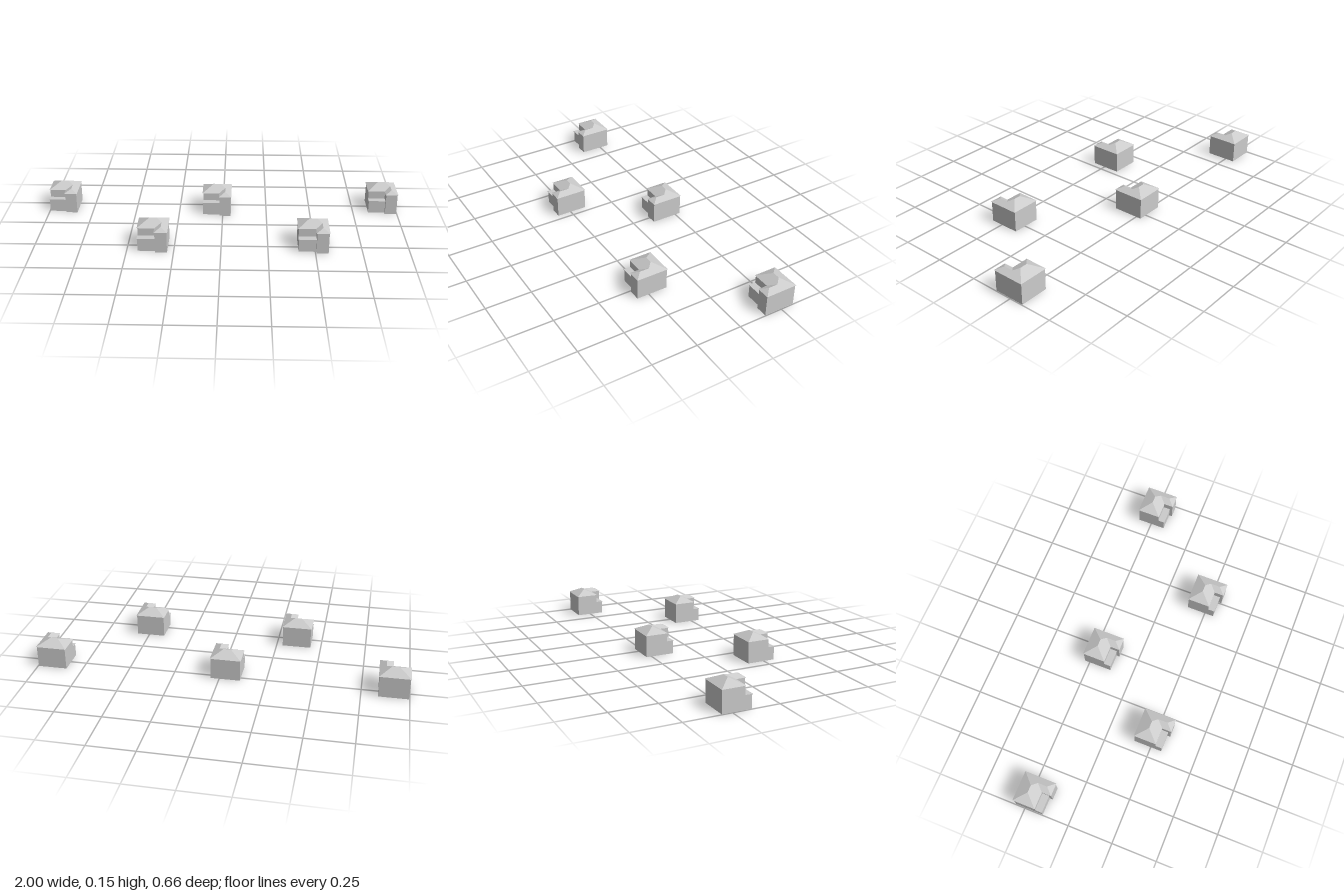
import * as THREE from 'three';

const EAVE = 0.118, RISE = 0.0315;
const material = new THREE.MeshStandardMaterial({ color: 0xcccccc, flatShading: true });
const doubleSided = new THREE.MeshStandardMaterial({ color: 0xcccccc, flatShading: true, side: THREE.DoubleSide });

function addMesh(group, name, geometry, mat = material) {
  const mesh = new THREE.Mesh(geometry, mat);
  mesh.name = name;
  group.add(mesh);
}

// Flat-faced geometry from polygons, each fanned from its first corner
function facets(polygons) {
  const pos = [];
  for (const p of polygons) {
    for (let i = 1; i < p.length - 1; i++) pos.push(...p[0], ...p[i], ...p[i + 1]);
  }
  const g = new THREE.BufferGeometry();
  g.setAttribute('position', new THREE.Float32BufferAttribute(pos, 3));
  g.computeVertexNormals();
  return g;
}

// Upright prism from a floor outline given as [x, z] corners
function prism(outline, height) {
  const shape = new THREE.Shape(outline.map(([x, z]) => new THREE.Vector2(x, -z)));
  const g = new THREE.ExtrudeGeometry(shape, { depth: height, bevelEnabled: false });
  return g.rotateX(-Math.PI / 2);
}

function createHouse() {
  const house = new THREE.Group();

  // L-shaped walls: main block with a narrow wing at the front left
  addMesh(house, 'walls', prism([
    [-0.079, 0.06], [0.015, 0.06], [0.015, 0.112], [0.079, 0.112], [0.079, -0.06], [-0.079, -0.06],
  ], EAVE));

  // Low front annex with a thin flat roof
  addMesh(house, 'annexWalls', prism([
    [-0.079, 0.095], [0.015, 0.095], [0.015, 0.06], [-0.079, 0.06],
  ], 0.07));
  const deck = new THREE.BoxGeometry(0.096, 0.003, 0.038);
  addMesh(house, 'annexRoof', deck.translate(-0.033, 0.0715, 0.079));

  // Main hip roof
  const w = 0.083, d = 0.063, top = EAVE + RISE;
  const fl = [w, EAVE, d], fr = [-w, EAVE, d], bl = [w, EAVE, -d], br = [-w, EAVE, -d];
  const ridgeL = [w - d, top, 0], ridgeR = [d - w, top, 0];
  addMesh(house, 'mainRoof', facets([
    [fr, fl, ridgeL, ridgeR],
    [bl, br, ridgeR, ridgeL],
    [fl, bl, ridgeL],
    [br, fr, ridgeR],
    [fr, br, bl, fl],
  ]), doubleSided);

  // Wing hip roof, its ridge running back into the main roof
  const half = 0.036, front = 0.115, y = EAVE + half * 0.5, x = w - half;
  const wl = [w, EAVE, front], wr = [w - 2 * half, EAVE, front], valley = [w - 2 * half, EAVE, d];
  const ridgeFront = [x, y, front - half], ridgeBack = [x, y, d - half];
  addMesh(house, 'wingRoof', facets([
    [wr, wl, ridgeFront],
    [wl, fl, ridgeBack, ridgeFront],
    [valley, wr, ridgeFront, ridgeBack],
    [wr, valley, fl, wl],
  ]), doubleSided);

  return house;
}

export function createModel() {
  const model = new THREE.Group();
  model.name = 'houses';
  // Five identical houses in two staggered rows, as [x, z]
  const places = [[-0.917, -0.243], [-0.363, 0.216], [-0.033, -0.219], [0.49, 0.205], [0.917, -0.266]];
  places.forEach(([x, z], i) => {
    const house = createHouse();
    house.name = `house${i + 1}`;
    house.position.set(x, 0, z);
    model.add(house);
  });
  return model;
}
